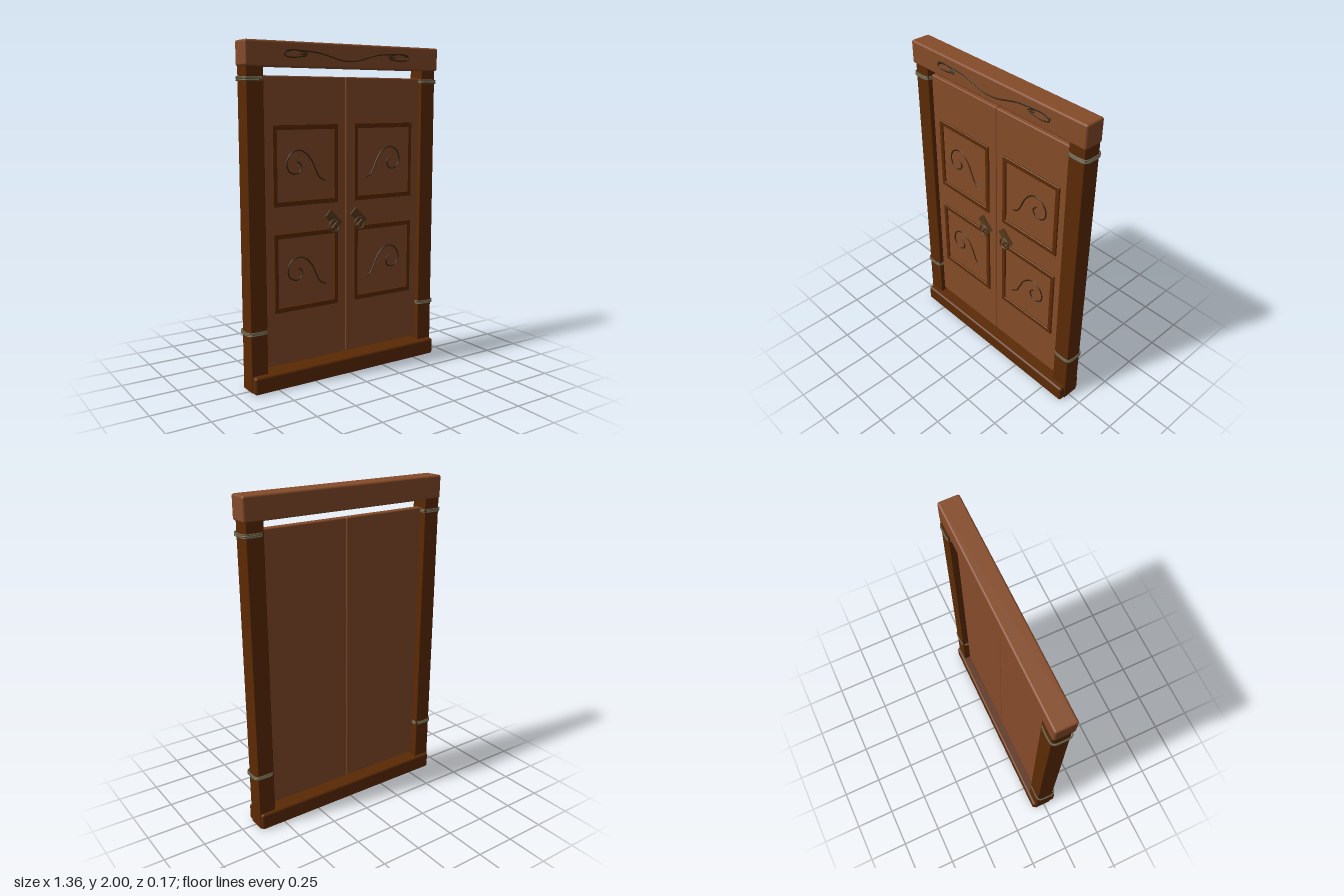
import * as THREE from 'three';
import { RoundedBoxGeometry } from 'three/addons/geometries/RoundedBoxGeometry.js';

const mat = (name, color) => {
  const m = new THREE.MeshStandardMaterial({ color });
  m.name = name;
  return m;
};

export function createModel() {
  const root = new THREE.Group();
  root.name = 'doubleDoor';
  const wood = mat('warmWood', 0x854b29);
  const darkWood = mat('darkWood', 0x5b2a04);
  const carved = mat('carvedLine', 0x35240f);
  const bronze = mat('agedBronze', 0x553a1b);
  const wire = mat('bindingWire', 0x69644c);

  const add = (name, geo, material, parent = root) => {
    const m = new THREE.Mesh(geo, material);
    m.name = name;
    parent.add(m);
    return m;
  };
  // Rounded box given by its limits on each axis
  const block = (name, x0, x1, y0, y1, z0, z1, r, material) => {
    const m = add(name, new RoundedBoxGeometry(x1 - x0, y1 - y0, z1 - z0, 2, r), material);
    m.position.set((x0 + x1) / 2, (y0 + y1) / 2, (z0 + z1) / 2);
    return m;
  };
  // Thin round line through 2D points, lying on a plane at z
  const line = (name, pts, z, side, dy = 0) => {
    const curve = new THREE.CatmullRomCurve3(
      pts.map(([x, y]) => new THREE.Vector3(x * side, y + dy, z)));
    return add(name, new THREE.TubeGeometry(curve, 64, 0.0045, 6), carved);
  };

  // Frame timbers
  block('lintel', -0.672, 0.672, 1.86, 2, -0.065, 0.061, 0.012, wood);
  block('sill', -0.656, 0.656, 0, 0.103, -0.083, 0.083, 0.014, darkWood);

  // Rectangular moulding, flat face with a small sloped edge
  const w = 0.431, h = 0.462;
  const rect = (path, a, b) => {
    path.moveTo(-a, -b);
    path.lineTo(a, -b);
    path.lineTo(a, b);
    path.lineTo(-a, b);
    path.closePath();
    return path;
  };
  const moulding = rect(new THREE.Shape(), w / 2, h / 2);
  moulding.holes.push(rect(new THREE.Path(), w / 2 - 0.022, h / 2 - 0.024));
  const mouldingGeo = new THREE.ExtrudeGeometry(moulding, {
    depth: 0.008, bevelEnabled: true, bevelThickness: 0.003, bevelSize: 0.003, bevelSegments: 1,
  });

  // Scroll carved in each panel, relative to the upper panel on the +x side
  const scroll = [[0.148, 1.208], [0.185, 1.229], [0.212, 1.277], [0.238, 1.33], [0.276, 1.373],
    [0.323, 1.392], [0.376, 1.373], [0.402, 1.325], [0.392, 1.277], [0.355, 1.256],
    [0.318, 1.266], [0.307, 1.304], [0.334, 1.328]];

  for (const side of [-1, 1]) {
    const label = side > 0 ? 'left' : 'right';
    const post = block(label + 'Post', 0.555, 0.661, 0.004, 1.87, -0.064, 0.046, 0.004, darkWood);
    const leaf = block(label + 'DoorLeaf', 0, 0.555, 0.127, 1.812, -0.026, 0.02, 0.008, wood);
    post.position.x *= side;
    leaf.position.x *= side;

    // Two framed panels per leaf
    for (const [level, cy, dy] of [['Upper', 1.306, 0], ['Lower', 0.681, -0.627]]) {
      const f = add(label + level + 'PanelMoulding', mouldingGeo, darkWood);
      f.position.set(side * 0.277, cy, 0.018);
      line(label + level + 'Scroll', scroll, 0.021, side, dy);
    }

    // Leaf loop at the end of the lintel carving
    line(label + 'LintelLeaf', [[0.28, 1.932], [0.33, 1.948], [0.385, 1.953], [0.43, 1.942],
      [0.43, 1.923], [0.385, 1.912], [0.335, 1.916], [0.29, 1.924], [0.33, 1.932]], 0.061, side);

    // Wire bindings, three turns around each post
    for (const y of [0.356, 1.793]) {
      for (let i = -1; i <= 1; i++) {
        const pts = [];
        for (let k = 0; k < 32; k++) {
          const a = (k / 32) * Math.PI * 2, c = Math.cos(a), s = Math.sin(a);
          pts.push(new THREE.Vector3(
            side * (0.615 + 0.063 * Math.sign(c) * Math.abs(c) ** 0.45),
            y + i * 0.0085,
            -0.007 + 0.062 * Math.sign(s) * Math.abs(s) ** 0.45));
        }
        add(label + 'PostBinding', new THREE.TubeGeometry(
          new THREE.CatmullRomCurve3(pts, true), 64, 0.0037, 6, true), wire);
      }
    }

    // Handle: slanted plate with a hanging ring and pin
    const handle = new THREE.Group();
    handle.name = label + 'Handle';
    handle.position.set(side * 0.091, 0.971, 0.02);
    root.add(handle);
    const plate = add('handlePlate', new THREE.BoxGeometry(0.112, 0.053, 0.014), bronze, handle);
    plate.rotation.z = -Math.PI / 4;
    plate.position.z = 0.007;
    const ring = add('handleRing', new THREE.TorusGeometry(0.035, 0.0065, 8, 28), bronze, handle);
    ring.position.set(0, -0.04, 0.019);
    const pin = add('handlePin', new THREE.CylinderGeometry(0.007, 0.007, 0.055, 8), bronze, handle);
    pin.rotation.z = -Math.PI / 4;
    pin.position.set(0.002, -0.034, 0.017);
  }

  // Flowing line joining both ends of the lintel carving
  const half = [[0.43, 1.935], [0.39, 1.95], [0.28, 1.948], [0.2, 1.94], [0.12, 1.92], [0.06, 1.905]];
  const mirrored = half.map(([x, y]) => [-x, y]);
  line('lintelScroll', [...mirrored, [0, 1.9], ...half.reverse()], 0.061, 1);

  return root;
}
